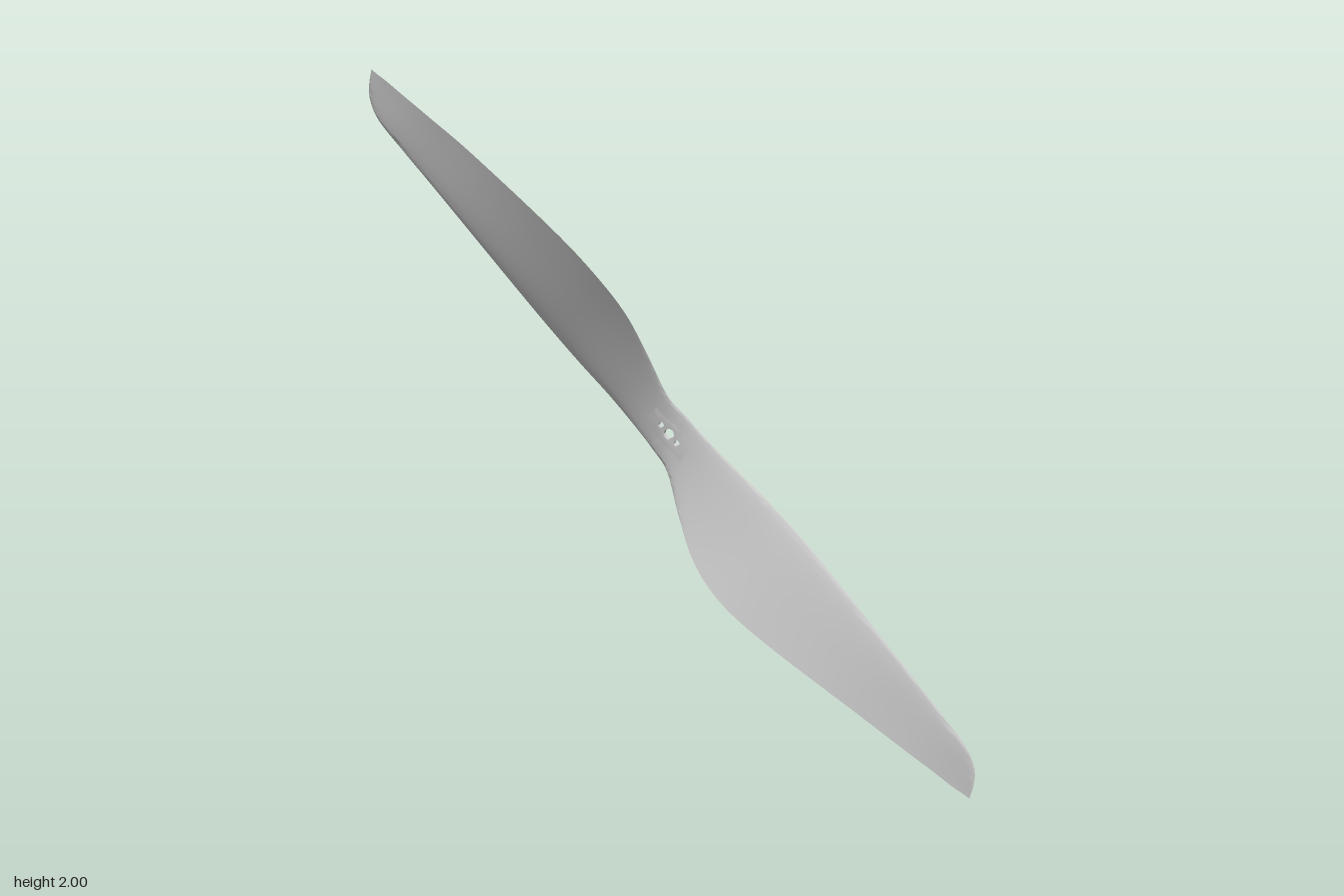
import * as THREE from 'three';
import { toCreasedNormals } from 'three/addons/utils/BufferGeometryUtils.js';

// Blade stations from hub to tip: [span, leading n, leading z, trailing n, trailing z]
const STATIONS = [
  [0, 0.076, -0.024, -0.076, -0.024],
  [0.08, 0.073, -0.030, -0.082, -0.008],
  [0.2, 0.075, -0.041, -0.134, 0.024],
  [0.33, 0.081, -0.048, -0.182, 0.05],
  [0.47, 0.082, -0.052, -0.197, 0.06],
  [0.65, 0.076, -0.051, -0.182, 0.042],
  [0.97, 0.060, -0.044, -0.130, 0.003],
  [1.13, 0.052, -0.038, -0.100, -0.008],
  [1.24, 0.044, -0.033, -0.078, -0.016],
  [1.30, 0.021, -0.030, -0.067, -0.019],
  [1.336, -0.014, -0.027, -0.058, -0.022],
  [1.36, -0.053, -0.024, -0.053, -0.024],
];
const LAST = STATIONS.length - 1;
const V_STEPS = 24;      // points across the chord
const PATCH = [9, 15];   // chord steps covered by the drilled hub patch

// One edge running tip to tip: leading on one blade, trailing on the other
const edge = new THREE.CatmullRomCurve3([
  ...STATIONS.slice(1).reverse().map(([s, , , n, z]) => new THREE.Vector3(-s, -n, z)),
  ...STATIONS.map(([s, n, z]) => new THREE.Vector3(s, n, z)),
], false, 'catmullrom');
const edgeAt = (t) => edge.getPoint(THREE.MathUtils.clamp((t + LAST) / (2 * LAST), 0, 1));

// Chord step to chord fraction, denser at the edges
const chordV = (j) => (1 - Math.cos((Math.PI * j) / V_STEPS)) / 2;

// Surface point: t = station, v = across the chord, w = 0 back face .. 1 front face
function surface(t, v, w) {
  const a = edgeAt(t);
  const b = edgeAt(-t);
  b.set(-b.x, -b.y, b.z);
  const chord = a.distanceTo(b);
  const p = b.lerp(a, v);
  const k = THREE.MathUtils.smoothstep(Math.abs(t), 0, 3);
  const u = t >= 0 ? 1 - v : v;                       // distance from leading edge
  const oval = 2 * Math.sqrt(Math.max(0, u * (1 - u)));
  const foil = 2.6 * Math.sqrt(Math.max(0, u)) * (1 - u);
  const half = chord * (0.055 - 0.017 * k) * THREE.MathUtils.lerp(oval, foil, k);
  const camber = -0.025 * chord * k * 4 * u * (1 - u);
  p.z += camber + half * (2 * w - 1);
  return p;
}

// Collects triangles, leaving out the collapsed ones
function addTriangle(out, a, b, c) {
  const area = b.clone().sub(a).cross(c.clone().sub(a)).length();
  if (area > 1e-9) for (const p of [a, b, c]) out.push(p.x, p.y, p.z);
}

// Front and back skins over a range of stations and chord steps
function addSkins(out, t0, t1, j0, j1) {
  const rows = Math.round((t1 - t0) * 8);
  for (const w of [0, 1]) {
    for (let i = 0; i < rows; i++) {
      for (let j = j0; j < j1; j++) {
        const at = (di, dj) => surface(t0 + ((t1 - t0) * (i + di)) / rows, chordV(j + dj), w);
        const [a, b, c, d] = [at(0, 0), at(1, 0), at(1, 1), at(0, 1)];
        if (w) {
          addTriangle(out, a, b, c);
          addTriangle(out, a, c, d);
        } else {
          addTriangle(out, a, c, b);
          addTriangle(out, a, d, c);
        }
      }
    }
  }
}

// Middle of the hub: a plate with three bores, bent onto the surface
function addDrilledPatch(out) {
  const [j0, j1] = PATCH;
  const v0 = chordV(j0);
  const v1 = chordV(j1);
  const outline = [];
  for (let i = 0; i < 16; i++) outline.push(new THREE.Vector2(-1 + i / 8, v0));
  for (let j = j0; j < j1; j++) outline.push(new THREE.Vector2(1, chordV(j)));
  for (let i = 0; i < 16; i++) outline.push(new THREE.Vector2(1 - i / 8, v1));
  for (let j = j1; j > j0; j--) outline.push(new THREE.Vector2(-1, chordV(j)));
  const shape = new THREE.Shape(outline);
  for (const [s, r] of [[-0.037, 0.009], [0, 0.016], [0.037, 0.009]]) {
    const hole = new THREE.Path();
    hole.absellipse(s / 0.08, 0.5, r / 0.08, r / 0.152, 0, Math.PI * 2, true);
    shape.holes.push(hole);
  }
  const plate = new THREE.ExtrudeGeometry(shape, { depth: 1, bevelEnabled: false, curveSegments: 20 });
  const pos = plate.getAttribute('position');
  const near = (x, y) => Math.abs(x - y) < 1e-4;
  for (let i = 0; i < pos.count; i += 3) {
    const q = [0, 1, 2].map((k) => new THREE.Vector3().fromBufferAttribute(pos, i + k));
    // Skip the outer walls, which would lie inside the hub
    const inside = [-1, 1].some((t) => q.every((p) => near(p.x, t)))
      || [v0, v1].some((v) => q.every((p) => near(p.y, v)));
    if (!inside) addTriangle(out, ...q.map((p) => surface(p.x, p.y, p.z)));
  }
}

function makeMesh(name, positions, material) {
  const geometry = new THREE.BufferGeometry();
  geometry.setAttribute('position', new THREE.Float32BufferAttribute(positions, 3));
  const mesh = new THREE.Mesh(toCreasedNormals(geometry, 0.8), material);
  mesh.name = name;
  return mesh;
}

export function createModel() {
  const model = new THREE.Group();
  model.name = 'propeller';
  const material = new THREE.MeshStandardMaterial({ color: 0xcccccc, side: THREE.DoubleSide });

  // Hub with its bores
  const hubData = [];
  addSkins(hubData, -1, 1, 0, PATCH[0]);
  addSkins(hubData, -1, 1, PATCH[1], V_STEPS);
  addDrilledPatch(hubData);
  model.add(makeMesh('hub', hubData, material));

  // Two identical blades, half a turn apart
  const bladeData = [];
  addSkins(bladeData, 1, LAST, 0, V_STEPS);
  const leftBlade = makeMesh('leftBlade', bladeData, material);
  const rightBlade = leftBlade.clone();
  rightBlade.name = 'rightBlade';
  rightBlade.rotation.z = Math.PI;
  model.add(leftBlade, rightBlade);

  // Span runs diagonally, hub centre one unit up
  model.rotation.z = -Math.PI / 4;
  model.position.y = 1;
  const root = new THREE.Group();
  root.add(model);
  return root;
}
